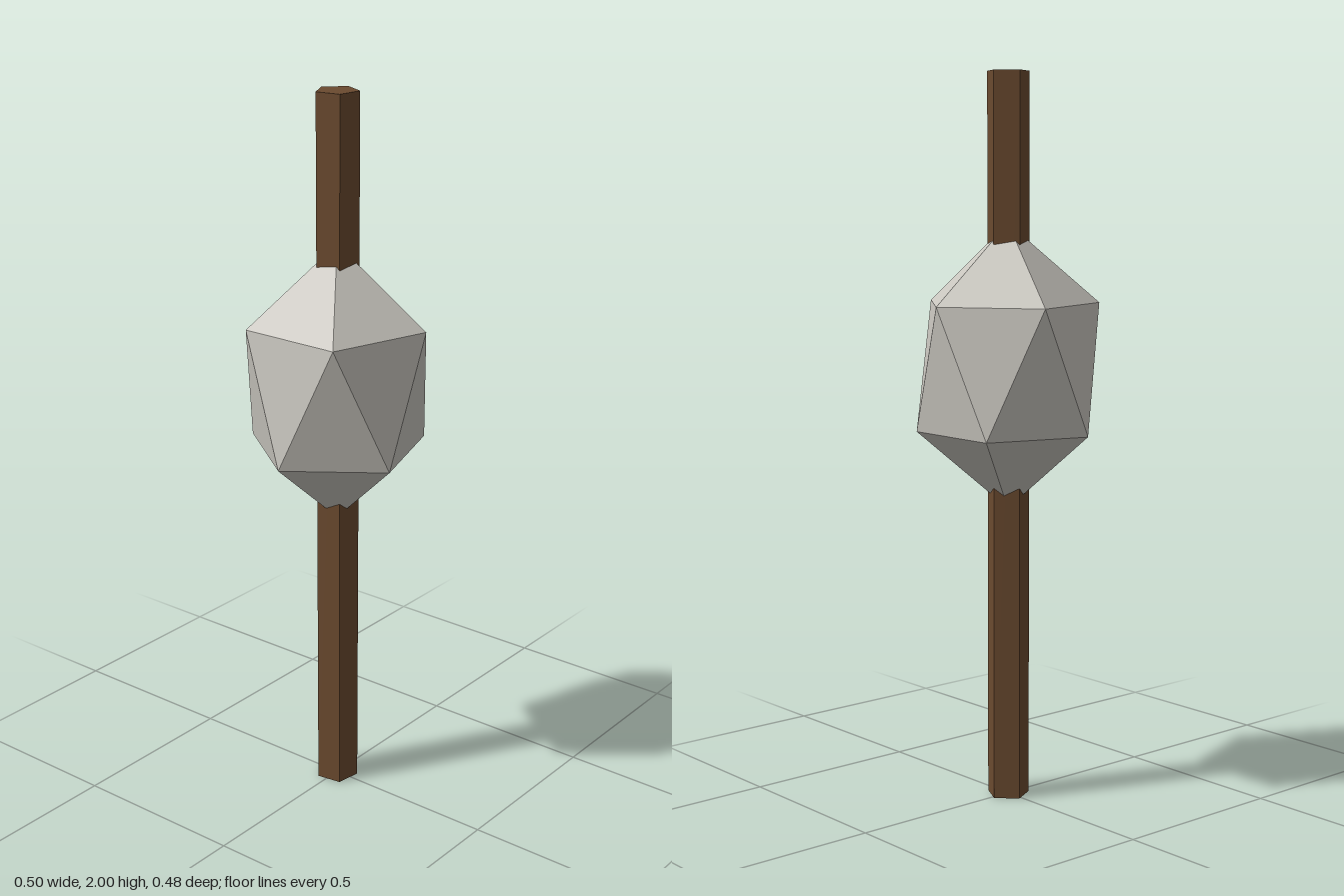
import * as THREE from 'three';

export function createModel() {
  const model = new THREE.Group();

  const wood = new THREE.MeshStandardMaterial({ color: 0x6b4a2f, flatShading: true });
  wood.name = 'brown wood';
  const stone = new THREE.MeshStandardMaterial({ color: 0xc8c5be, flatShading: true });
  stone.name = 'pale grey stone';

  // Five-sided pole running the full height
  const pole = new THREE.Mesh(
    new THREE.CylinderGeometry(0.06, 0.06, 2, 5, 1, false, THREE.MathUtils.degToRad(27)),
    wood
  );
  pole.name = 'pole';
  pole.position.y = 1;
  model.add(pole);

  // Stretched icosahedron, turned so two opposite corners lie on the pole axis
  const golden = (1 + Math.sqrt(5)) / 2;
  const gem = new THREE.IcosahedronGeometry(1, 0);
  gem.rotateZ(-Math.atan(1 / golden));
  gem.scale(0.2795, 0.391, 0.2795);
  gem.computeVertexNormals();
  const head = new THREE.Mesh(gem, stone);
  head.name = 'stoneHead';
  head.position.y = 1.205;
  model.add(head);

  return model;
}
